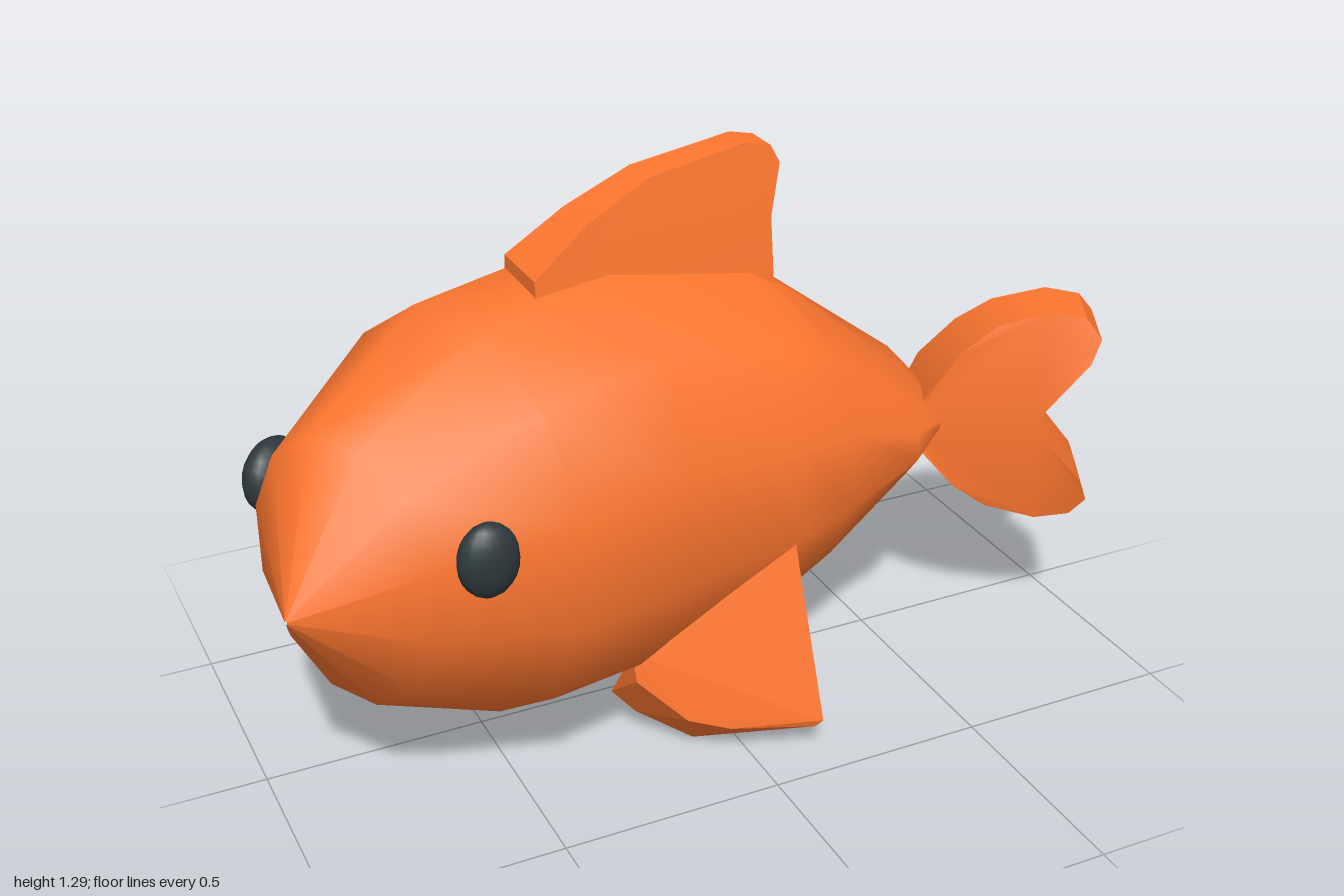
import * as THREE from 'three';
import { mergeVertices, toCreasedNormals } from 'three/addons/utils/BufferGeometryUtils.js';
import { ConvexGeometry } from 'three/addons/geometries/ConvexGeometry.js';

const skin = new THREE.MeshStandardMaterial({ color: 0xff7730 });
const dark = new THREE.MeshStandardMaterial({ color: 0x2d383c });

function addMesh(parent, name, geometry, material) {
  const mesh = new THREE.Mesh(geometry, material);
  mesh.name = name;
  parent.add(mesh);
  return mesh;
}

// Bent body: each station has its far side (x, z), near side (x, z) and half height
function bodyGeometry() {
  const stations = [
    [-1.0, 0.335, -0.998, 0.345, 0.004],
    [-0.96, 0.0, -0.73, 0.42, 0.3],
    [-0.69, -0.28, -0.42, 0.447, 0.465],
    [-0.28, -0.39, -0.15, 0.375, 0.495],
    [0.14, -0.39, 0.14, 0.325, 0.43],
    [0.25, -0.345, 0.29, 0.285, 0.345],
    [0.6, -0.19, 0.48, 0.24, 0.125],
    [0.655, -0.06, 0.59, 0.16, 0.03],
  ];
  const sides = 12, positions = [], index = [];
  const k = 1 / Math.cos(Math.PI / sides);
  stations.forEach(([ax, az, bx, bz, h], i) => {
    for (let j = 0; j < sides; j++) {
      const a = ((j + 0.5) / sides) * Math.PI * 2;
      const c = Math.cos(a) * k / 2;
      positions.push((ax + bx) / 2 + (bx - ax) * c, 0.6 + Math.sin(a) * h * k * 0.97, (az + bz) / 2 + (bz - az) * c);
      if (i < stations.length - 1) {
        const p = i * sides + j, q = i * sides + (j + 1) % sides;
        index.push(p, p + sides, q, q, p + sides, q + sides);
      }
    }
  });
  const g = new THREE.BufferGeometry();
  g.setAttribute('position', new THREE.Float32BufferAttribute(positions, 3));
  g.setIndex(index);
  g.computeVertexNormals();
  return g;
}

// Extrudes an outline to z = -1..1, then lets a rule reshape every vertex
function shapedSlab(points, rule) {
  const shape = new THREE.Shape(points.map(([x, y]) => new THREE.Vector2(x, y)));
  const g = new THREE.ExtrudeGeometry(shape, { depth: 2, bevelEnabled: false });
  g.deleteAttribute('uv');
  g.deleteAttribute('normal');
  const p = g.attributes.position;
  for (let i = 0; i < p.count; i++) p.setXYZ(i, ...rule(p.getX(i), p.getY(i), p.getZ(i) - 1));
  return toCreasedNormals(mergeVertices(g), 0.7);
}

export function createModel() {
  const fish = new THREE.Group();
  fish.name = 'fish';
  addMesh(fish, 'body', bodyGeometry(), skin);

  // Forked tail, swung towards +z and thinner at its tips
  const lobe = [[0, 0.07], [0.08, 0.17], [0.16, 0.23], [0.28, 0.265], [0.36, 0.25], [0.395, 0.205], [0.375, 0.15]];
  const tailOutline = [[0.25, 0], ...[...lobe].reverse(), [-0.03, 0], ...lobe.map(([s, y]) => [s, -y])];
  addMesh(fish, 'tailFin', shapedSlab(tailOutline, (s, y, t) => {
    const half = 0.12 - 0.05 * Math.max(0, Math.abs(y) - 0.08) / 0.19;
    return [0.605 + 0.88 * s - 0.47 * half * t, 0.6 + y, 0.04 + 0.47 * s + 0.88 * half * t];
  }), skin);

  // Back fin, tapering upwards
  const finOutline = [[-0.37, 1.02], [0.0, 0.98], [0.2, 0.93], [0.2, 1.13], [0.23, 1.24],
    [0.21, 1.28], [0.15, 1.295], [-0.09, 1.26], [-0.24, 1.19], [-0.37, 1.1]];
  addMesh(fish, 'backFin', shapedSlab(finOutline, (x, y, t) => {
    const low = THREE.MathUtils.clamp((1.29 - y) / (0.24 + 0.1 * (x + 0.37)), 0, 1);
    return [x, y, -0.015 - 0.07 * x + t * (0.04 + 0.055 * low)];
  }), skin);

  // Side fins: an outer and an inner rim joined into a wedge, mirrored across the bent spine
  const rim = [
    [0.125, 0.5, 0.32], [0.15, 0.08, 0.43], [0.135, 0.063, 0.42], [-0.05, 0.08, 0.37], [-0.14, 0.11, 0.34],
    [-0.24, 0.21, 0.29], [-0.245, 0.28, 0.28],
    [0.17, 0.33, 0.23], [0.18, 0.03, 0.35], [0.15, 0.005, 0.33], [-0.09, 0, 0.26], [-0.2, 0.06, 0.19], [-0.24, 0.1, 0.15],
  ];
  for (const side of [1, -1]) {
    const dx = side > 0 ? 0 : 0.05, dz = side > 0 ? 0 : -0.06;
    const points = rim.map(([x, y, z]) => new THREE.Vector3(x + dx, y, z * side + dz));
    addMesh(fish, side > 0 ? 'leftSideFin' : 'rightSideFin', new ConvexGeometry(points), skin);
  }

  // Eyes: flattened balls facing out of the turned head
  const eyes = [['leftEye', -0.62, 0.445, 0, 0.065, 0.04], ['rightEye', -0.9, -0.075, Math.PI + 0.67, 0.085, 0.05]];
  for (const [name, x, z, turn, width, depth] of eyes) {
    const eye = addMesh(fish, name, new THREE.SphereGeometry(1, 16, 12), dark);
    eye.position.set(x, 0.7, z);
    eye.rotation.y = turn;
    eye.scale.set(width, 0.082, depth);
  }
  return fish;
}
